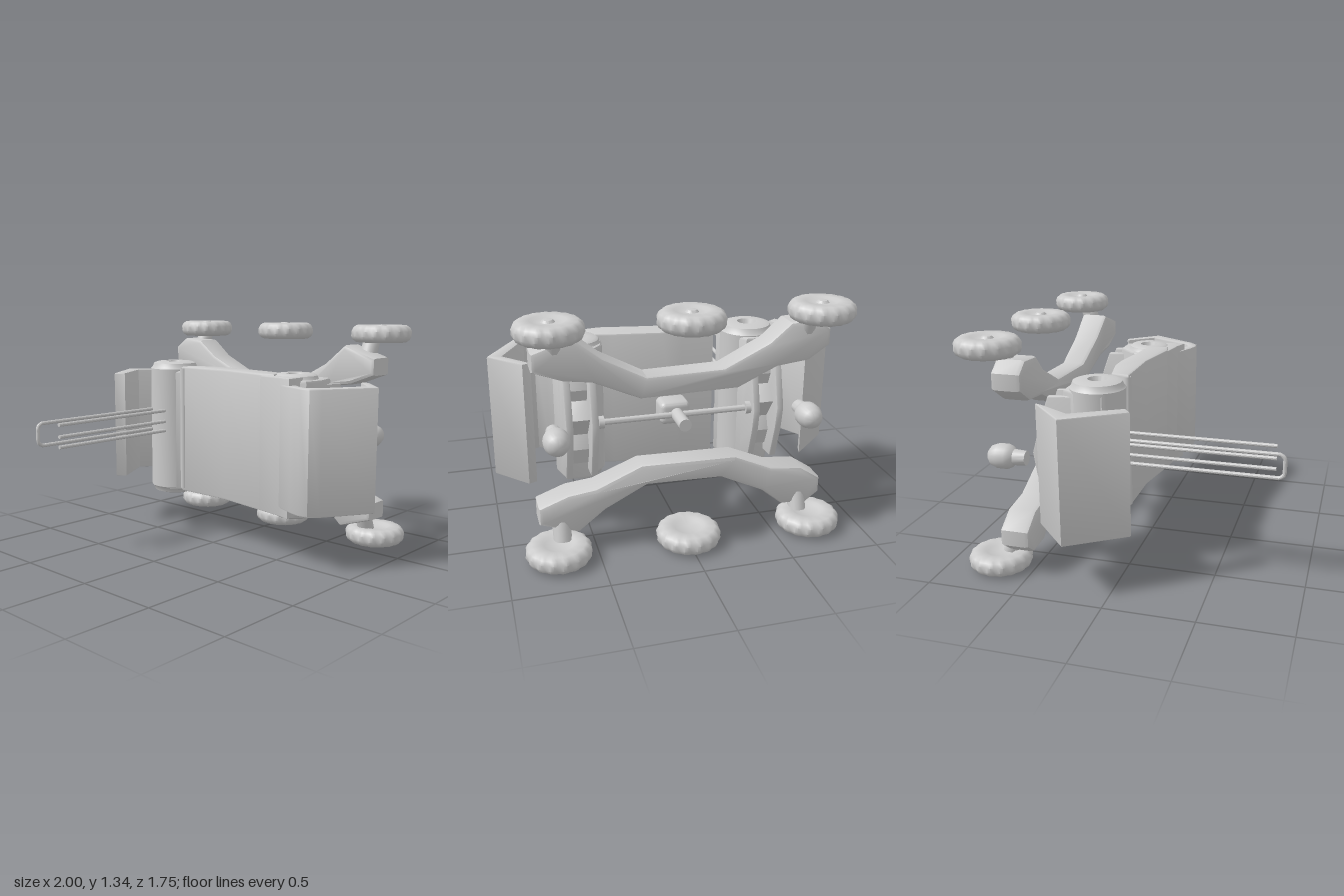
import * as THREE from 'three';
import { toCreasedNormals } from 'three/addons/utils/BufferGeometryUtils.js';
import { RoundedBoxGeometry } from 'three/addons/geometries/RoundedBoxGeometry.js';

const MID = 0.68; // height of the mirror plane between upper and lower running gear
const V = (x, y, z) => new THREE.Vector3(x, y, z);

export function createModel() {
  const group = new THREE.Group();
  const mat = new THREE.MeshStandardMaterial({ color: 0xcccccc, side: THREE.DoubleSide });

  const add = (name, geo, crease = 0.6) => {
    const mesh = new THREE.Mesh(crease ? toCreasedNormals(geo, crease) : geo, mat);
    mesh.name = name;
    group.add(mesh);
    return mesh;
  };
  const shapeOf = (pts) => new THREE.Shape(pts.map(([a, b]) => new THREE.Vector2(a, b)));

  // Extrudes an outline with a bevel that stays within the given depth
  const extrude = (pts, depth, bevel) => new THREE.ExtrudeGeometry(shapeOf(pts), {
    depth: depth - 2 * bevel, bevelEnabled: bevel > 0, bevelSize: bevel,
    bevelThickness: bevel, bevelOffset: -bevel, bevelSegments: 2,
  }).translate(0, 0, bevel);

  // Upright slab from a plan outline given as [x, z]
  const slab = (name, pts, y0, y1, bevel = 0.008) => add(name,
    extrude(pts.map(([x, z]) => [x, -z]), y1 - y0, bevel).rotateX(-Math.PI / 2).translate(0, y0, 0));

  // Plate from a side outline given as [z, y], spanning x0 to x1
  const sidePlate = (name, pts, x0, x1, bevel = 0.008) => add(name,
    extrude(pts.map(([z, y]) => [-z, y]), x1 - x0, bevel).rotateY(Math.PI / 2).translate(x0, 0, 0));

  // Straight round bar between two points
  const rod = (name, a, b, r) => add(name,
    new THREE.TubeGeometry(new THREE.LineCurve3(a, b), 1, r, 14));

  // Main panel between the drums
  slab('mainPanel', [[-0.32, -0.05], [-0.3, -0.16], [-0.1, -0.2], [0.02, -0.2], [0.3, -0.16],
    [0.4, -0.14], [0.45, -0.02], [0.35, 0], [0.05, -0.05]], 0.28, 1.08, 0.012);
  rod('panelSeam', V(-0.31, 0.3, -0.06), V(-0.31, 1.07, -0.06), 0.022);
  slab('sidePanel', [[0.32, -0.01], [0.34, -0.1], [0.6, -0.1], [0.61, 0.05], [0.53, 0.025]], 0.28, 1.07);

  // Hooked panel on the left, and the angled blade on the right
  slab('wrapPanel', [[0.53, 0.025], [0.65, 0.08], [0.72, 0.1], [0.78, 0.095], [0.83, 0.05], [1, -0.23],
    [0.83, -0.41], [0.785, -0.39], [0.92, -0.24], [0.78, 0.02], [0.72, 0.05], [0.66, 0.02], [0.56, -0.05]],
  0.33, 1.03);
  slab('sideBlade', [[-0.77, -0.42], [-1, -0.21], [-0.79, 0.1], [-0.735, 0.06], [-0.89, -0.2], [-0.785, -0.37]],
    0.33, 1.02);

  // Hollow-capped drums at both ends of the body
  for (const [x, z, r, low, high] of [[-0.5, -0.17, 0.155, 0.24, 1.1], [0.5, -0.16, 0.14, 0.25, 1.08]]) {
    const half = [[0, -0.04], [0.04, -0.04], [0.055, 0], [0.105, 0], [r - 0.02, -0.01], [r - 0.01, -0.035], [r, -0.045]];
    const profile = [
      ...half.map(([a, h]) => new THREE.Vector2(a, low - h)),
      ...half.map(([a, h]) => new THREE.Vector2(a, high + h)).reverse(),
    ];
    add('drum', new THREE.LatheGeometry(profile, 40).translate(x, 0, z));
  }

  // Housings that narrow from each drum toward the back
  slab('drumHousing', [[-0.65, -0.17], [-0.63, -0.25], [-0.58, -0.34], [-0.44, -0.34], [-0.36, -0.22],
    [-0.34, -0.1], [-0.42, -0.04], [-0.58, -0.04], [-0.64, -0.1]], 0.27, 1.05, 0.015);
  slab('drumHousing', [[0.36, -0.14], [0.38, -0.24], [0.47, -0.34], [0.61, -0.34], [0.65, -0.2],
    [0.63, -0.08], [0.55, -0.02], [0.42, -0.02]], 0.29, 1.05, 0.015);

  // Bowed rear brackets: outer cheeks with a shallower web between them
  const cheek = [[-0.25, 1.02], [-0.42, 1.01], [-0.46, 0.9], [-0.52, 0.68], [-0.5, 0.55], [-0.44, 0.35], [-0.25, 0.34]];
  const web = [[-0.25, 0.98], [-0.36, 0.96], [-0.4, 0.85], [-0.37, 0.78], [-0.46, 0.7], [-0.37, 0.58],
    [-0.4, 0.5], [-0.36, 0.4], [-0.25, 0.38]];
  for (const c of [-0.52, 0.54]) {
    sidePlate('bracketCheek', cheek, c - 0.09, c - 0.05);
    sidePlate('bracketCheek', cheek, c + 0.05, c + 0.09);
    sidePlate('bracketWeb', web, c - 0.06, c + 0.06);
  }

  // Cross shaft with a central motor and spindle
  rod('crossShaft', V(-0.46, MID, -0.46), V(0.48, MID, -0.46), 0.017);
  for (const x of [-0.41, 0.43]) {
    add('shaftCollar', new THREE.CylinderGeometry(0.035, 0.035, 0.03, 20).rotateZ(Math.PI / 2).translate(x, MID, -0.46));
  }
  add('motor', new RoundedBoxGeometry(0.17, 0.13, 0.14, 3, 0.03).translate(0.005, MID, -0.38));
  add('spindle', new THREE.CylinderGeometry(0.035, 0.035, 0.2, 20).rotateX(Math.PI / 2).translate(0, MID, -0.52));

  // Rounded knobs on short necks behind each end
  const knob = [[0, 0], [0.04, 0], [0.045, 0.07], [0.06, 0.085], [0.07, 0.11], [0.07, 0.16], [0.055, 0.2],
    [0.03, 0.22], [0, 0.225]].map(([a, b]) => new THREE.Vector2(a, b));
  for (const x of [-0.7, 0.7]) {
    add('rearKnob', new THREE.LatheGeometry(knob, 24).rotateX(-Math.PI / 2).translate(x, MID, -0.515));
  }

  // Wheels: rounded tyres with a knobbly tread, dished hub and axle nub
  const tyre = [[0, 0.055], [0.025, 0.052], [0.035, 0.04], [0.075, 0.04], [0.09, 0.05], [0.145, 0.05], [0.165, 0.036],
    [0.175, 0.015], [0.175, -0.015], [0.165, -0.036], [0.145, -0.05], [0.09, -0.05], [0.075, -0.04], [0, -0.04]];
  const wheel = (x, y, side) => {
    const geo = new THREE.LatheGeometry(tyre.map(([a, b]) => new THREE.Vector2(a, b)).reverse(), 64);
    const p = geo.attributes.position;
    for (let i = 0; i < p.count; i++) {
      const r = Math.hypot(p.getX(i), p.getZ(i));
      if (r < 0.12) continue;
      const a = Math.atan2(p.getZ(i), p.getX(i));
      const k = 1 + 0.022 * Math.sin(16 * a + (p.getY(i) > 0 ? 1.2 : 0));
      p.setXYZ(i, p.getX(i) * k, p.getY(i), p.getZ(i) * k);
    }
    geo.computeVertexNormals();
    if (side < 0) geo.rotateX(Math.PI);
    add('wheel', geo.translate(x, y, -0.7), 0.7);
  };

  // Cranked beams carrying the wheels, mirrored above and below
  const beam = [[-0.8, 1.17], [-0.8, 1.08], [-0.68, 1], [-0.5, 0.98], [-0.28, 0.88], [0.25, 0.87], [0.5, 0.98],
    [0.65, 1], [0.81, 1.06], [0.81, 1.16], [0.6, 1.23], [0.45, 1.11], [0.22, 0.99], [-0.2, 1], [-0.45, 1.12],
    [-0.57, 1.22], [-0.72, 1.23]];
  for (const side of [1, -1]) {
    const flip = (y) => MID + side * (y - MID);
    const geo = extrude(beam.map(([x, y]) => [x, flip(y)]), 0.15, 0.022).translate(0, 0, -0.66);
    const p = geo.attributes.position;
    // The beam ends swell and shift slightly forward
    for (let i = 0; i < p.count; i++) {
      const t = THREE.MathUtils.smoothstep(Math.abs(p.getX(i)), 0.3, 0.6);
      p.setZ(i, p.getZ(i) + t * (0.015 + 0.15 * (p.getZ(i) + 0.585)));
    }
    add('wheelBeam', geo);
    for (const x of [-0.71, 0, 0.72]) wheel(x, flip(1.295), side);
    for (const x of [-0.67, 0.69]) rod('wheelKnuckle', V(x, flip(1.14), -0.6), V(x, flip(1.27), -0.65), 0.05);
  }

  // Forward prongs: one closed loop and three separate bars
  const loop = new THREE.CurvePath();
  const corners = [V(-0.575, 0.66, -0.04), V(-0.575, 0.66, 0.84), V(-0.575, 0.68, 0.862),
    V(-0.575, 0.77, 0.862), V(-0.575, 0.79, 0.84), V(-0.575, 0.79, -0.04)];
  corners.slice(1).forEach((c, i) => loop.add(new THREE.LineCurve3(corners[i], c)));
  add('prongLoop', new THREE.TubeGeometry(loop, 120, 0.011, 10));
  for (const y of [0.66, 0.72, 0.79]) {
    add('prongBar', new THREE.CylinderGeometry(0.011, 0.011, 0.85, 10).rotateX(Math.PI / 2).translate(-0.45, y, 0.38));
  }

  return group;
}
